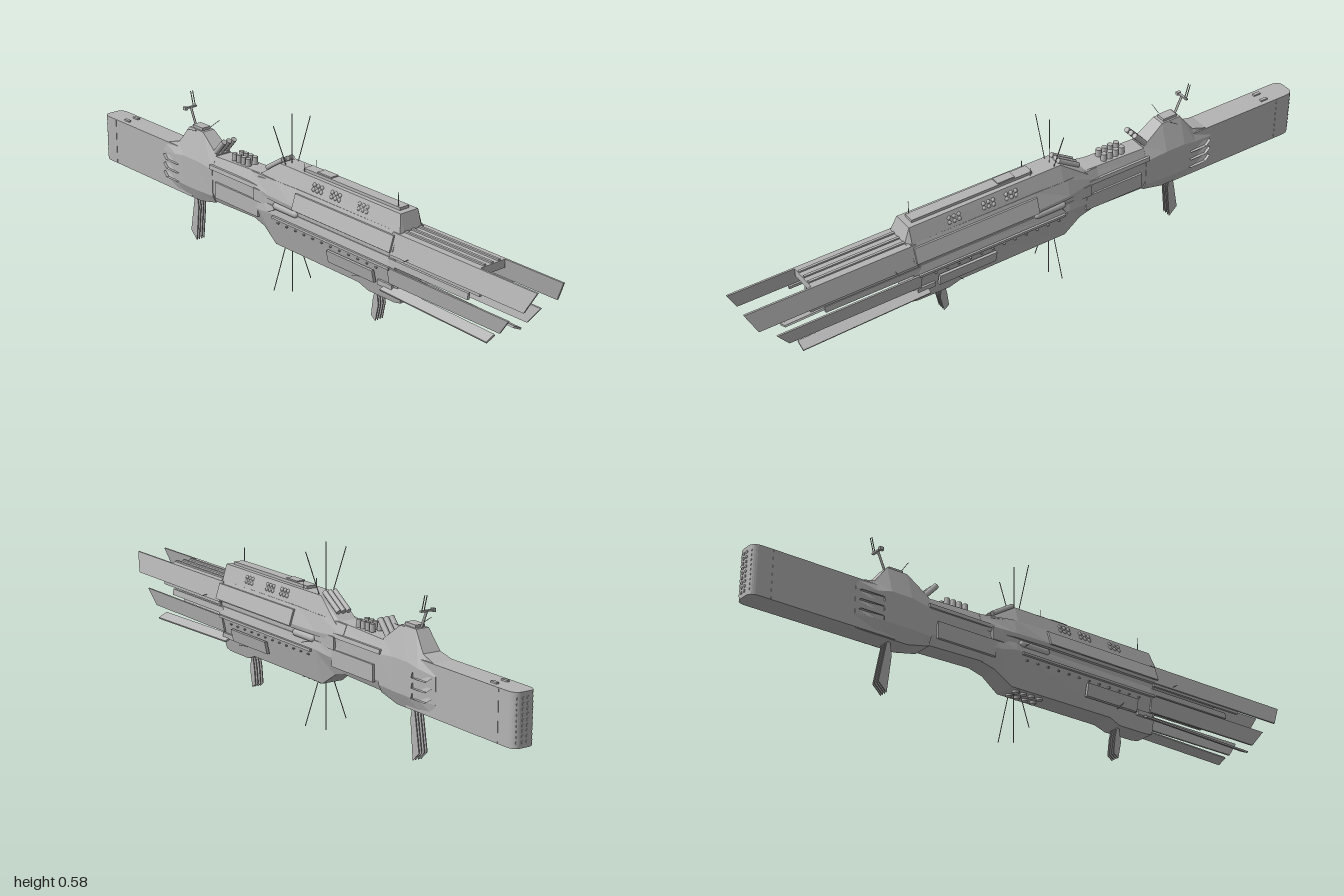
import * as THREE from 'three';

const hullGrey = new THREE.MeshStandardMaterial({ color: 0xb4b4b4 });
hullGrey.name = 'hull grey';

export function createModel() {
  const model = new THREE.Group();
  model.name = 'spaceship';
  const sides = [1, -1];

  const add = (name, geometry, x = 0, y = 0, z = 0) => {
    const mesh = new THREE.Mesh(geometry, hullGrey);
    mesh.name = name;
    mesh.position.set(x, y, z);
    model.add(mesh);
    return mesh;
  };
  const box = (name, x, y, z, w, h, d) => add(name, new THREE.BoxGeometry(w, h, d), x, y, z);

  // thin rod or tube between two points
  const rod = (name, a, b, r = 0.0015, n = 6) => {
    const from = new THREE.Vector3(...a), to = new THREE.Vector3(...b);
    const dir = to.clone().sub(from);
    const mesh = add(name, new THREE.CylinderGeometry(r, r, dir.length(), n));
    mesh.position.copy(from).addScaledVector(dir, 0.5);
    mesh.quaternion.setFromUnitVectors(new THREE.Vector3(0, 1, 0), dir.normalize());
    return mesh;
  };

  // hull from mirrored cross-sections: [z, x, y, x, y, ...] top to bottom, z rising
  const loft = (name, sections) => {
    const rings = sections.map(([z, ...p]) => {
      const half = [];
      for (let i = 0; i < p.length; i += 2) half.push([p[i], p[i + 1], z]);
      return [...half, ...half.slice().reverse().map(([x, y]) => [-x, y, z])];
    });
    const pos = [], n = rings[0].length;
    const tri = (...v) => v.forEach(p => pos.push(...p));
    for (let s = 0; s + 1 < rings.length; s++) {
      const a = rings[s], b = rings[s + 1];
      for (let i = 0; i < n; i++) {
        const j = (i + 1) % n;
        tri(a[i], b[i], a[j]);
        tri(a[j], b[i], b[j]);
      }
    }
    const first = rings[0], last = rings[rings.length - 1];
    for (let i = 1; i < n - 1; i++) {
      tri(first[0], first[i], first[i + 1]);
      tri(last[0], last[i + 1], last[i]);
    }
    const g = new THREE.BufferGeometry();
    g.setAttribute('position', new THREE.Float32BufferAttribute(pos, 3));
    g.computeVertexNormals();
    return add(name, g);
  };

  // leaning side plate with slanted front end, on both sides
  const sidePlates = (name, z0, zTop, zBottom, xTop, yTop, xBottom, yBottom, t = 0.006) => {
    for (const s of sides) {
      let g = new THREE.BoxGeometry(1, 1, 1);
      const p = g.attributes.position;
      for (let i = 0; i < p.count; i++) {
        const up = p.getY(i) > 0;
        p.setXYZ(i, s * (up ? xTop : xBottom) + p.getX(i) * t, up ? yTop : yBottom,
          p.getZ(i) < 0 ? z0 : up ? zTop : zBottom);
      }
      g.computeVertexNormals();
      add(name, g);
    }
  };

  // flat plate drawn in the z-y plane
  const profilePlate = (name, points, x, t) => {
    const g = new THREE.ExtrudeGeometry(new THREE.Shape(points.map(p => new THREE.Vector2(...p))),
      { depth: t, bevelEnabled: false });
    g.translate(0, 0, -t / 2).rotateY(-Math.PI / 2);
    return add(name, g, x);
  };

  // engine block, rounded at the stern
  const plan = new THREE.Shape();
  plan.moveTo(-0.038, 0.52);
  plan.lineTo(0.038, 0.52);
  plan.lineTo(0.038, 0.965);
  plan.quadraticCurveTo(0.038, 0.998, 0.012, 0.998);
  plan.lineTo(-0.012, 0.998);
  plan.quadraticCurveTo(-0.038, 0.998, -0.038, 0.965);
  const block = new THREE.ExtrudeGeometry(plan, { depth: 0.155, bevelEnabled: false, curveSegments: 8 });
  add('engineBlock', block.rotateX(-Math.PI / 2), 0, 0.19, 0);
  for (let r = 0; r < 9; r++) for (const x of [-0.024, -0.008, 0.008, 0.024]) {
    const z = Math.abs(x) > 0.01 ? -0.992 : -0.997;
    add('engineNozzle', new THREE.CylinderGeometry(0.004, 0.005, 0.006, 8).rotateX(Math.PI / 2),
      x, 0.207 + r * 0.015, z);
  }
  for (const s of sides) box('engineHatch', s * 0.018, 0.347, -0.89, 0.01, 0.006, 0.025);
  for (const s of sides) box('engineSeam', s * 0.038, 0.267, -0.93, 0.002, 0.15, 0.004);

  // bridge bulge
  loft('bridgeHull', [
    [-0.66, 0.036, 0.34, 0.039, 0.31, 0.039, 0.23, 0.032, 0.19],
    [-0.59, 0.03, 0.36, 0.048, 0.32, 0.048, 0.23, 0.034, 0.188],
    [-0.545, 0.022, 0.42, 0.052, 0.33, 0.052, 0.23, 0.034, 0.188],
    [-0.475, 0.022, 0.42, 0.052, 0.33, 0.052, 0.23, 0.034, 0.188],
    [-0.40, 0.028, 0.365, 0.047, 0.32, 0.046, 0.23, 0.034, 0.205]]);
  for (const y of [0.245, 0.275, 0.305])
    sidePlates('bridgeFin', -0.57, -0.65, -0.63, 0.048, y, 0.052, y - 0.014, 0.01);
  box('bridgeRoof', 0, 0.424, -0.51, 0.032, 0.01, 0.05);

  // neck
  loft('neckHull', [
    [-0.42, 0.03, 0.36, 0.045, 0.32, 0.045, 0.24, 0.032, 0.208],
    [-0.14, 0.03, 0.37, 0.047, 0.33, 0.047, 0.25, 0.032, 0.215]]);
  sidePlates('neckPanel', -0.38, -0.17, -0.17, 0.048, 0.285, 0.048, 0.232, 0.008);
  sidePlates('neckRail', -0.41, -0.15, -0.15, 0.046, 0.335, 0.048, 0.322, 0.008);
  for (let i = 0; i < 4; i++) for (const s of sides)
    add('neckTurret', new THREE.CylinderGeometry(0.009, 0.01, 0.024, 10), s * 0.014, 0.378, -0.325 + i * 0.022);
  for (const x of [-0.02, 0, 0.02])
    rod('launchTube', [x, 0.36, -0.42], [x, 0.415, -0.37], 0.009, 10);

  // lower hull with raised keel
  loft('lowerHull', [
    [-0.24, 0.042, 0.295, 0.046, 0.26, 0.03, 0.22],
    [-0.16, 0.05, 0.295, 0.054, 0.26, 0.032, 0.2],
    [-0.10, 0.058, 0.295, 0.063, 0.27, 0.036, 0.16],
    [0.28, 0.058, 0.295, 0.064, 0.27, 0.038, 0.16],
    [0.32, 0.058, 0.295, 0.064, 0.27, 0.035, 0.145],
    [0.43, 0.058, 0.295, 0.064, 0.27, 0.034, 0.145],
    [0.455, 0.055, 0.295, 0.06, 0.27, 0.033, 0.15]]);
  sidePlates('lowerArmour', 0.17, 0.37, 0.37, 0.065, 0.235, 0.056, 0.195, 0.01);
  sidePlates('lowerRail', -0.08, 0.44, 0.44, 0.066, 0.268, 0.066, 0.26, 0.008);
  for (let i = 0; i < 4; i++) for (const s of sides)
    add('bellyPod', new THREE.CylinderGeometry(0.01, 0.01, 0.01, 10), s * 0.016, 0.158, -0.07 + i * 0.03);

  // recessed waist with side pods
  box('waist', 0, 0.305, 0.13, 0.11, 0.04, 0.63);
  for (const s of sides) {
    const pod = add('waistPod', new THREE.CapsuleGeometry(0.012, 0.09, 4, 8).rotateX(Math.PI / 2), s * 0.056, 0.298, -0.03);
    pod.scale.x = 0.8;
  }

  // upper hull and deckhouse
  loft('upperHull', [
    [-0.22, 0.032, 0.365, 0.046, 0.33, 0.044, 0.31],
    [-0.10, 0.048, 0.375, 0.062, 0.325, 0.06, 0.312],
    [0.02, 0.049, 0.378, 0.068, 0.325, 0.065, 0.312],
    [0.455, 0.049, 0.378, 0.068, 0.325, 0.065, 0.312]]);
  loft('deckHouse', [
    [-0.18, 0.03, 0.368, 0.042, 0.36],
    [-0.085, 0.031, 0.428, 0.048, 0.375],
    [0.45, 0.034, 0.428, 0.05, 0.375],
    [0.465, 0.034, 0.38, 0.05, 0.373]]);
  sidePlates('upperArmour', 0.02, 0.45, 0.45, 0.058, 0.368, 0.074, 0.32, 0.006);
  box('deckSpine', 0, 0.432, 0.22, 0.036, 0.01, 0.42);
  box('deckBlock', 0, 0.435, 0.1, 0.03, 0.012, 0.06);
  for (const x of [-0.018, 0, 0.018])
    rod('slopeTube', [x, 0.39, -0.16], [x, 0.437, -0.085], 0.008, 10);

  // clusters of gun ports on the deckhouse sides
  for (const z of [0.1, 0.18, 0.3]) for (let c = 0; c < 3; c++) for (let r = 0; r < 2; r++) for (const s of sides)
    add('gunPort', new THREE.SphereGeometry(0.007, 8, 6), s * (0.041 - r * 0.004), 0.395 + r * 0.014, z + (c - 1) * 0.017);
  for (let i = 0; i < 12; i++) for (const s of sides)
    box('hullStud', s * 0.061, 0.247, -0.06 + i * 0.04, 0.006, 0.004, 0.006);

  // forward prongs
  box('upperProngRoof', 0, 0.362, 0.61, 0.096, 0.026, 0.345);
  for (const x of [-0.028, 0, 0.028]) box('roofRib', x, 0.377, 0.61, 0.008, 0.006, 0.34);
  sidePlates('upperProng', 0.44, 0.998, 0.965, 0.051, 0.375, 0.066, 0.31);
  sidePlates('upperProngStrip', 0.44, 0.8, 0.8, 0.062, 0.309, 0.062, 0.3, 0.008);
  sidePlates('lowerProng', 0.43, 0.91, 0.87, 0.064, 0.265, 0.054, 0.212);
  sidePlates('lowerProngStrip', 0.43, 0.75, 0.75, 0.056, 0.292, 0.058, 0.272, 0.008);
  for (const s of sides) {
    const barrel = box('longBarrel', s * 0.053, 0.188, 0.62, 0.034, 0.006, 0.43);
    barrel.rotation.set(0.025, 0, s * -0.45);
    box('barrelMount', s * 0.046, 0.2, 0.41, 0.02, 0.016, 0.06);
  }

  // hanging fins
  for (const x of [-0.014, -0.005, 0.005, 0.014]) {
    profilePlate('rearFin', [[-0.522, 0.19], [-0.515, 0.15], [-0.528, 0.03], [-0.557, 0.058], [-0.54, 0.15], [-0.532, 0.19]], x, 0.003);
    profilePlate('frontFin', [[0.335, 0.15], [0.342, 0.1], [0.33, 0.045], [0.312, 0.058], [0.318, 0.11], [0.328, 0.15]], x, 0.003);
  }

  // long radial aerials
  rod('upperAerial', [0, 0.42, -0.065], [0, 0.585, -0.065]);
  rod('lowerAerial', [0, 0.165, -0.065], [0, 0, -0.065]);
  for (const s of sides) {
    rod('upperAerial', [s * 0.024, 0.425, -0.065], [s * 0.073, 0.562, -0.065]);
    rod('lowerAerial', [s * 0.027, 0.16, -0.065], [s * 0.075, 0.025, -0.065]);
    rod('sideAerial', [s * 0.06, 0.29, -0.07], [s * 0.093, 0.29, -0.07], 0.001);
    rod('sideAerial', [s * 0.06, 0.318, 0.52], [s * 0.088, 0.318, 0.52], 0.001);
    rod('sideAerial', [s * 0.03, 0.42, -0.5], [s * 0.065, 0.433, -0.5], 0.001);
    rod('sideAerial', [s * 0.05, 0.19, 0.3], [s * 0.083, 0.2, 0.3], 0.001);
    rod('deckAerial', [s * 0.023, 0.425, 0.02], [s * 0.023, 0.455, 0.02], 0.001);
  }
  rod('bowAerial', [-0.015, 0.42, 0.42], [-0.015, 0.48, 0.42], 0.0012);

  // sensor mast on the bridge
  rod('mast', [0, 0.4, -0.53], [0, 0.476, -0.565], 0.004);
  box('mastBar', 0, 0.475, -0.567, 0.048, 0.005, 0.008);
  box('mastSensor', -0.02, 0.475, -0.567, 0.01, 0.01, 0.014);
  for (const x of [0.012, 0.02]) rod('mastAerial', [x, 0.475, -0.567], [x, 0.523, -0.58], 0.0015);

  return model;
}
